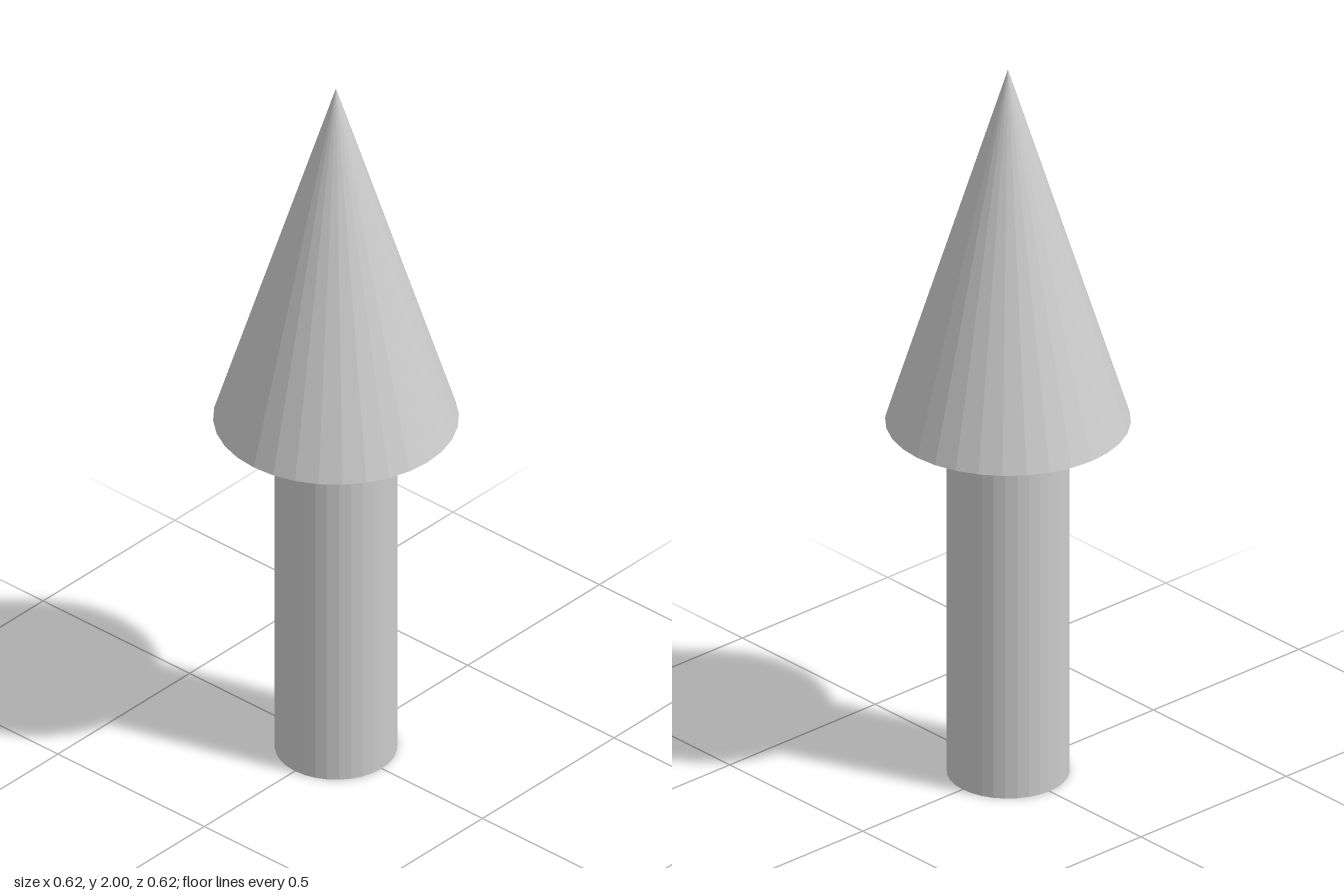
import * as THREE from 'three';

const SIDES = 32;

export function createModel() {
  const group = new THREE.Group();
  const material = new THREE.MeshStandardMaterial({ color: 0xcccccc, flatShading: true });

  const add = (name, geometry, y) => {
    const mesh = new THREE.Mesh(geometry, material);
    mesh.name = name;
    mesh.position.y = y;
    group.add(mesh);
  };

  // Round shaft standing on the ground
  add('shaft', new THREE.CylinderGeometry(0.156, 0.156, 1, SIDES), 0.5);

  // Pointed head, twice as wide as the shaft
  add('arrowHead', new THREE.ConeGeometry(0.3125, 1, SIDES), 1.5);

  return group;
}
